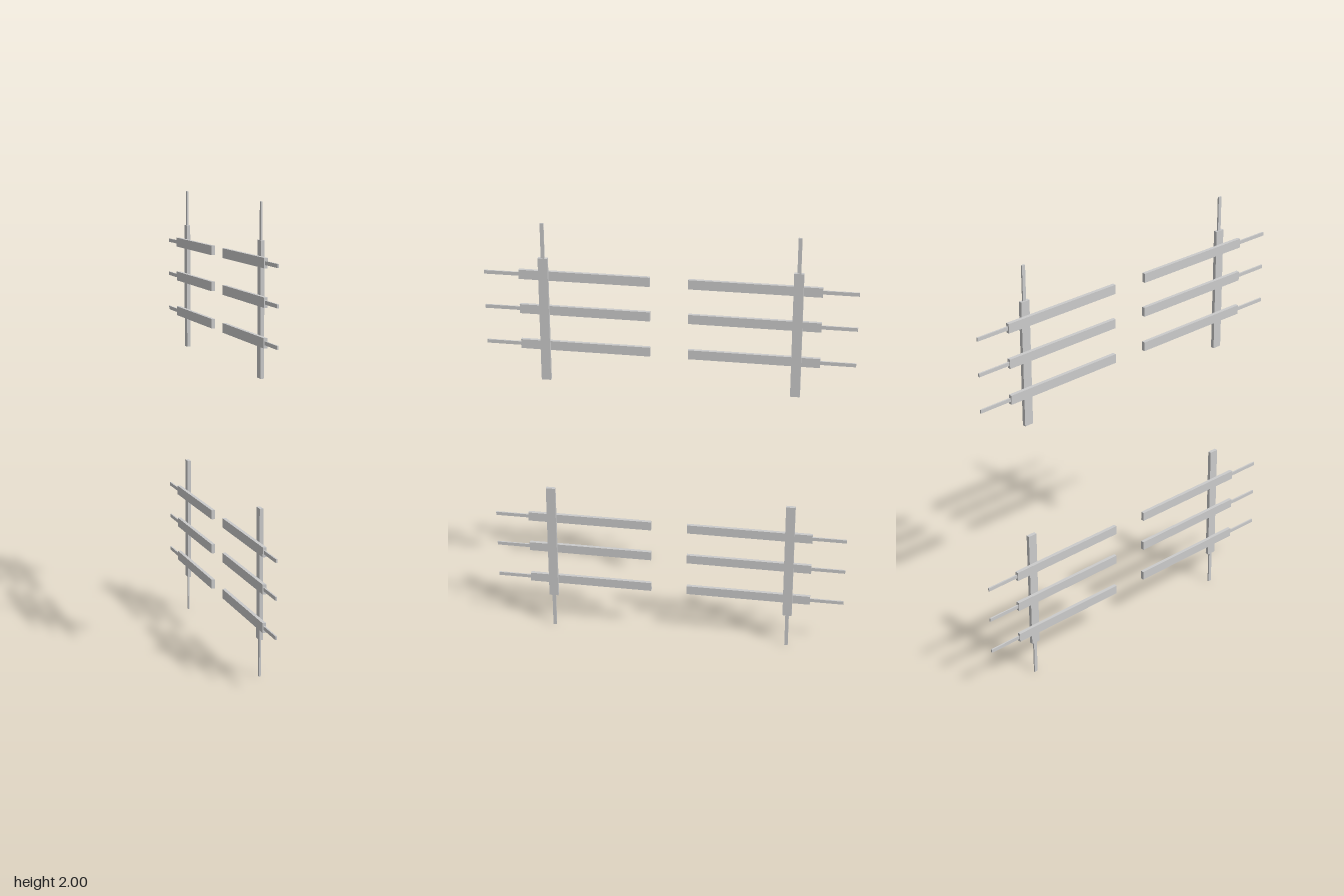
import * as THREE from 'three';

const material = new THREE.MeshStandardMaterial({ color: 0xcccccc, flatShading: true });

// Box given by its [min, max] extent on each axis
function bar(name, [x0, x1], [y0, y1], [z0, z1]) {
  const geometry = new THREE.BoxGeometry(x1 - x0, y1 - y0, z1 - z0);
  geometry.translate((x0 + x1) / 2, (y0 + y1) / 2, (z0 + z1) / 2);
  const mesh = new THREE.Mesh(geometry, material);
  mesh.name = name;
  return mesh;
}

const around = (centre, size) => [centre - size / 2, centre + size / 2];

const T = 0.016;      // thickness of the bars
const WIDE = 0.042;   // width of posts and rails
const ROD = 0.016;    // width of the thin end rods
const ROD_T = 0.007;  // thickness of the thin end rods

export function createModel() {
  const model = new THREE.Group();

  const levels = [
    { name: 'lower', post: [0.164, 0.731], rod: [0, 0.164], rails: [0.244, 0.409, 0.567] },
    { name: 'upper', post: [1.277, 1.844], rod: [1.844, 2], rails: [1.435, 1.6, 1.759] },
  ];
  const ends = [
    { name: 'Front', post: 0.543, rail: [0.083, 0.654], rod: [0.654, 0.808] },
    { name: 'Back', post: -0.553, rail: [-0.654, -0.083], rod: [-0.808, -0.654] },
  ];

  for (const level of levels) {
    for (const end of ends) {
      const section = new THREE.Group();
      section.name = level.name + end.name + 'Section';

      // Upright post with a thin rod at its outer end
      section.add(bar('post', [0, T], level.post, around(end.post, WIDE)));
      section.add(bar('postRod', around(T / 2, ROD_T), level.rod, around(end.post, ROD)));

      // Three rails on the right face of the post, each with a thin rod
      for (const y of level.rails) {
        section.add(bar('rail', [-T, 0], around(y, WIDE), end.rail));
        section.add(bar('railRod', around(-T / 2, ROD_T), around(y, ROD), end.rod));
      }
      model.add(section);
    }
  }
  return model;
}
